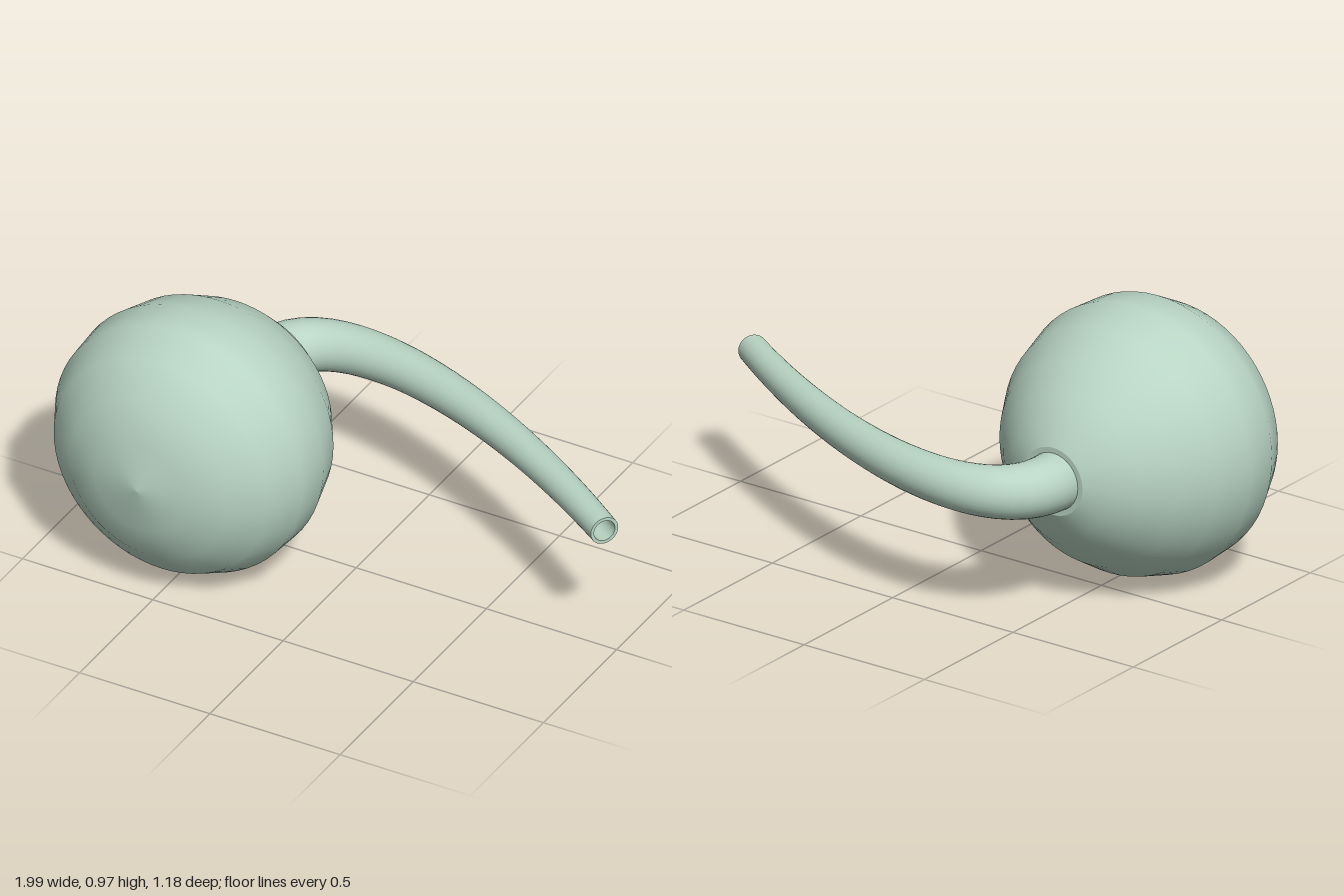
import * as THREE from 'three';

const AXIS_X = -0.516, AXIS_Y = 0.487, NECK_Z = -0.295;

// Tube along a curve whose radius runs evenly from r0 to r1
function taperedTube(curve, segments, sides, r0, r1) {
  const geo = new THREE.TubeGeometry(curve, segments, 1, sides, false);
  const pos = geo.attributes.position;
  const p = new THREE.Vector3();
  for (let i = 0; i <= segments; i++) {
    const centre = curve.getPointAt(i / segments);
    const r = THREE.MathUtils.lerp(r0, r1, curve.getUtoTmapping(i / segments));
    for (let j = 0; j <= sides; j++) {
      const k = i * (sides + 1) + j;
      p.fromBufferAttribute(pos, k).sub(centre).multiplyScalar(r).add(centre);
      pos.setXYZ(k, p.x, p.y, p.z);
    }
  }
  return geo;
}

export function createModel() {
  const group = new THREE.Group();
  const glass = new THREE.MeshStandardMaterial({ color: 0xb8d4c3, side: THREE.DoubleSide });
  glass.name = 'paleGreenGlass';

  function add(name, geometry) {
    const mesh = new THREE.Mesh(geometry, glass);
    mesh.name = name;
    group.add(mesh);
    return mesh;
  }

  // Bulb: profile of [radius, z] turned about the z axis
  const profile = [
    [0.122, NECK_Z], [0.203, -0.255], [0.283, -0.19], [0.37, -0.095], [0.443, 0.025],
    [0.483, 0.165], [0.475, 0.295], [0.413, 0.413], [0.303, 0.505], [0.173, 0.557], [0, 0.586],
  ].map(([r, z]) => new THREE.Vector2(r, z));
  const bulb = add('bulb', new THREE.LatheGeometry(profile, 64).rotateX(Math.PI / 2));
  bulb.position.set(AXIS_X, AXIS_Y, 0);

  // Flat shoulder where the spout leaves the bulb
  const shoulder = add('shoulder', new THREE.RingGeometry(0.08, 0.122, 64).rotateY(Math.PI));
  shoulder.position.set(AXIS_X, AXIS_Y, NECK_Z);

  // Hollow spout bending sideways out of the bulb
  const curve = new THREE.CubicBezierCurve3(
    new THREE.Vector3(AXIS_X, AXIS_Y, NECK_Z),
    new THREE.Vector3(AXIS_X, AXIS_Y, NECK_Z - 0.38),
    new THREE.Vector3(0.145, AXIS_Y, -0.55),
    new THREE.Vector3(0.966, AXIS_Y, 0.022),
  );
  add('spoutOuterWall', taperedTube(curve, 40, 32, 0.103, 0.051));
  add('spoutInnerWall', taperedTube(curve, 40, 32, 0.08, 0.039));

  // Rim closing the wall at the mouth
  const rim = add('spoutRim', new THREE.RingGeometry(0.039, 0.051, 32));
  rim.position.copy(curve.getPoint(1));
  rim.quaternion.setFromUnitVectors(new THREE.Vector3(0, 0, 1), curve.getTangent(1));

  return group;
}
